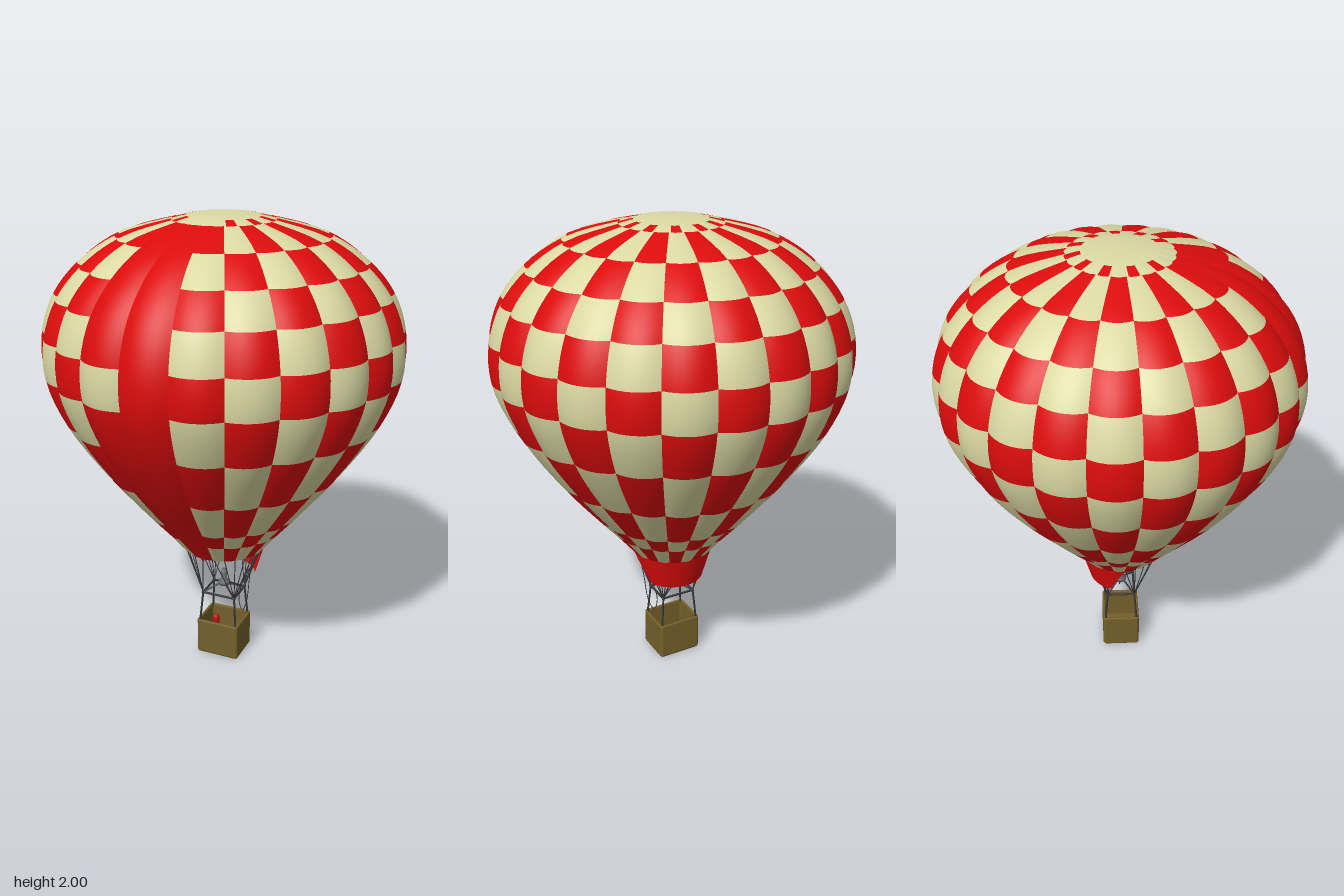
import * as THREE from 'three';

const mat = (name, color, side = THREE.FrontSide) => {
  const m = new THREE.MeshStandardMaterial({ color, side });
  m.name = name;
  return m;
};

export function createModel() {
  const red = mat('red fabric', 0xdc0c0c, THREE.DoubleSide);
  const cream = mat('cream fabric', 0xdad8a2, THREE.DoubleSide);
  const wicker = mat('wicker', 0x74602a);
  const dark = mat('dark cable', 0x38383c);
  const steel = mat('burner steel', 0x6a6c72);
  const tankRed = mat('tank red', 0xb81414);

  const model = new THREE.Group();
  const add = (name, geo, material, parent = model) => {
    const m = new THREE.Mesh(geo, material);
    m.name = name;
    parent.add(m);
    return m;
  };
  const V = (x, y, z) => new THREE.Vector3(x, y, z);
  // straight round bar between two points
  const bar = (name, a, b, r, material, parent, sides = 6) => {
    const m = add(name, new THREE.CylinderGeometry(r, r, a.distanceTo(b), sides), material, parent);
    m.position.copy(a).lerp(b, 0.5);
    m.quaternion.setFromUnitVectors(V(0, 1, 0), b.clone().sub(a).normalize());
    return m;
  };

  // ---- envelope: 23 bulging gores, chequered by band ----
  const GORES = 23, COLS = 8, SUB = 4, STEP = (Math.PI * 2) / GORES;
  const bands = [[0, 2], [0.09, 1.996], [0.15, 1.988], [0.21, 1.974], [0.43, 1.91], [0.58, 1.81],
    [0.68, 1.69], [0.735, 1.54], [0.737, 1.38], [0.662, 1.18], [0.505, 0.94], [0.345, 0.74],
    [0.268, 0.65], [0.185, 0.547]];
  const profile = new THREE.CatmullRomCurve3(bands.map(([r, y]) => V(r, y, 0)));
  const rows = (bands.length - 1) * SUB;

  const isRed = (gore, band, col) => {
    if (band < 2) return false;
    if (band === 2) return gore % 2 === 0 && gore > 0 && gore < 22 && col > 0 && col < COLS - 1;
    if (gore === 0) return true;                       // plain front gore
    if (gore === GORES - 1) return band !== 7;         // its neighbour, with one pale panel
    return (gore + band) % 2 === 0;
  };

  const pos = [], faces = { red: [], cream: [] };
  for (let g = 0; g < GORES; g++) {
    const base = pos.length / 3;
    for (let j = 0; j <= rows; j++) {
      const p = profile.getPoint(j / rows);
      for (let i = 0; i <= COLS; i++) {
        const t = (i / COLS) * 2 - 1;
        const a = (g + t / 2) * STEP;
        const r = Math.max(0, p.x) * (1.006 - 0.032 * t * t);
        pos.push(r * Math.sin(a), Math.min(p.y, 2), r * Math.cos(a));
      }
    }
    for (let j = 0; j < rows; j++) {
      for (let i = 0; i < COLS; i++) {
        const tl = base + j * (COLS + 1) + i, bl = tl + COLS + 1;
        const list = isRed(g, Math.floor(j / SUB), i) ? faces.red : faces.cream;
        list.push(tl, bl, tl + 1, tl + 1, bl, bl + 1);
      }
    }
  }
  const envelope = new THREE.BufferGeometry();
  envelope.setAttribute('position', new THREE.Float32BufferAttribute(pos, 3));
  envelope.setIndex([...faces.red, ...faces.cream]);
  envelope.addGroup(0, faces.red.length, 0);
  envelope.addGroup(faces.red.length, faces.cream.length, 1);
  envelope.computeVertexNormals();
  add('envelope', envelope, [red, cream]);

  // ---- scoop: open cone hanging round the back of the mouth ----
  const scoop = new THREE.PlaneGeometry(1, 1, 32, 4);
  const sp = scoop.attributes.position;
  for (let i = 0; i < sp.count; i++) {
    const v = 0.5 - sp.getY(i);
    const half = THREE.MathUtils.lerp(1.68, 1.2, v);
    const a = Math.PI + sp.getX(i) * 2 * half;
    const r = THREE.MathUtils.lerp(0.183, 0.14, v);
    sp.setXYZ(i, r * Math.sin(a), 0.55 - 0.155 * v, r * Math.cos(a));
  }
  scoop.computeVertexNormals();
  add('scoop', scoop, red);

  // ---- burner frame, posts and suspension cables ----
  const rig = new THREE.Group();
  rig.name = 'rigging';
  model.add(rig);
  const FX = 0.076, FZ = 0.062, FY = 0.305;
  const corners = [[1, 1], [1, -1], [-1, -1], [-1, 1]];
  corners.forEach(([sx, sz], i) => {
    const c = V(sx * FX, FY, sz * FZ);
    const [nx, nz] = corners[(i + 1) % 4];
    bar('frameBar', c, V(nx * FX, FY, nz * FZ), 0.005, dark, rig);
    bar('post', c, V(sx * 0.088, 0.155, sz * 0.074), 0.005, dark, rig);
    bar('burnerStrut', c, V(sx * 0.012, 0.342, sz * 0.012), 0.004, dark, rig);
    const joint = add('frameJoint', new THREE.SphereGeometry(0.008, 8, 6), dark, rig);
    joint.position.copy(c);
  });
  for (let g = 0; g < GORES; g++) {
    const a = (g + 0.5) * STEP, r = 0.178;
    const top = V(r * Math.sin(a), 0.555, r * Math.cos(a));
    const end = V(Math.sign(top.x || 1) * FX, FY, Math.sign(top.z) * FZ);
    bar('cable', top, end, 0.0022, dark, rig, 5);
  }
  // slack control line
  const line = new THREE.CatmullRomCurve3([V(0.16, 0.55, 0.03), V(0.135, 0.42, 0.02), V(0.115, 0.27, 0.01),
    V(0.09, 0.215, 0), V(0.075, 0.26, 0), V(0.085, 0.33, 0.01), V(0.125, 0.45, 0.03)]);
  add('controlLine', new THREE.TubeGeometry(line, 40, 0.002, 5), dark, rig);

  // ---- burner ----
  const burner = [[0, 0.335], [0.026, 0.335], [0.026, 0.35], [0.014, 0.362], [0.014, 0.385], [0.01, 0.41], [0, 0.41]]
    .map(([r, y]) => new THREE.Vector2(r, y));
  add('burner', new THREE.LatheGeometry(burner, 16).toNonIndexed(), steel);

  // ---- basket: rounded walls round a hollow, with a floor ----
  const roundRect = (Shape, hx, hy, r) => {
    const s = new Shape();
    s.absarc(hx - r, hy - r, r, 0, Math.PI / 2);
    s.absarc(r - hx, hy - r, r, Math.PI / 2, Math.PI);
    s.absarc(r - hx, r - hy, r, Math.PI, Math.PI * 1.5);
    s.absarc(hx - r, r - hy, r, Math.PI * 1.5, Math.PI * 2);
    s.closePath();
    return s;
  };
  const slab = (shape, depth, bevel, y) => new THREE.ExtrudeGeometry(shape, {
    depth, curveSegments: 5, bevelEnabled: true, bevelThickness: bevel, bevelSize: bevel,
    bevelOffset: -bevel, bevelSegments: 2,
  }).rotateX(-Math.PI / 2).translate(0, y + bevel, 0);
  const basket = new THREE.Group();
  basket.name = 'basket';
  model.add(basket);
  const wall = roundRect(THREE.Shape, 0.1, 0.085, 0.014);
  wall.holes.push(roundRect(THREE.Path, 0.088, 0.073, 0.008));
  add('basketWalls', slab(wall, 0.155, 0.005, 0.004), wicker, basket);
  add('basketFloor', slab(roundRect(THREE.Shape, 0.098, 0.083, 0.014), 0.008, 0.005, 0), wicker, basket);

  // fuel tank standing in a corner
  const tank = add('fuelTank', new THREE.CapsuleGeometry(0.016, 0.085, 4, 12), tankRed, basket);
  tank.position.set(-0.06, 0.075, -0.045);
  return model;
}
